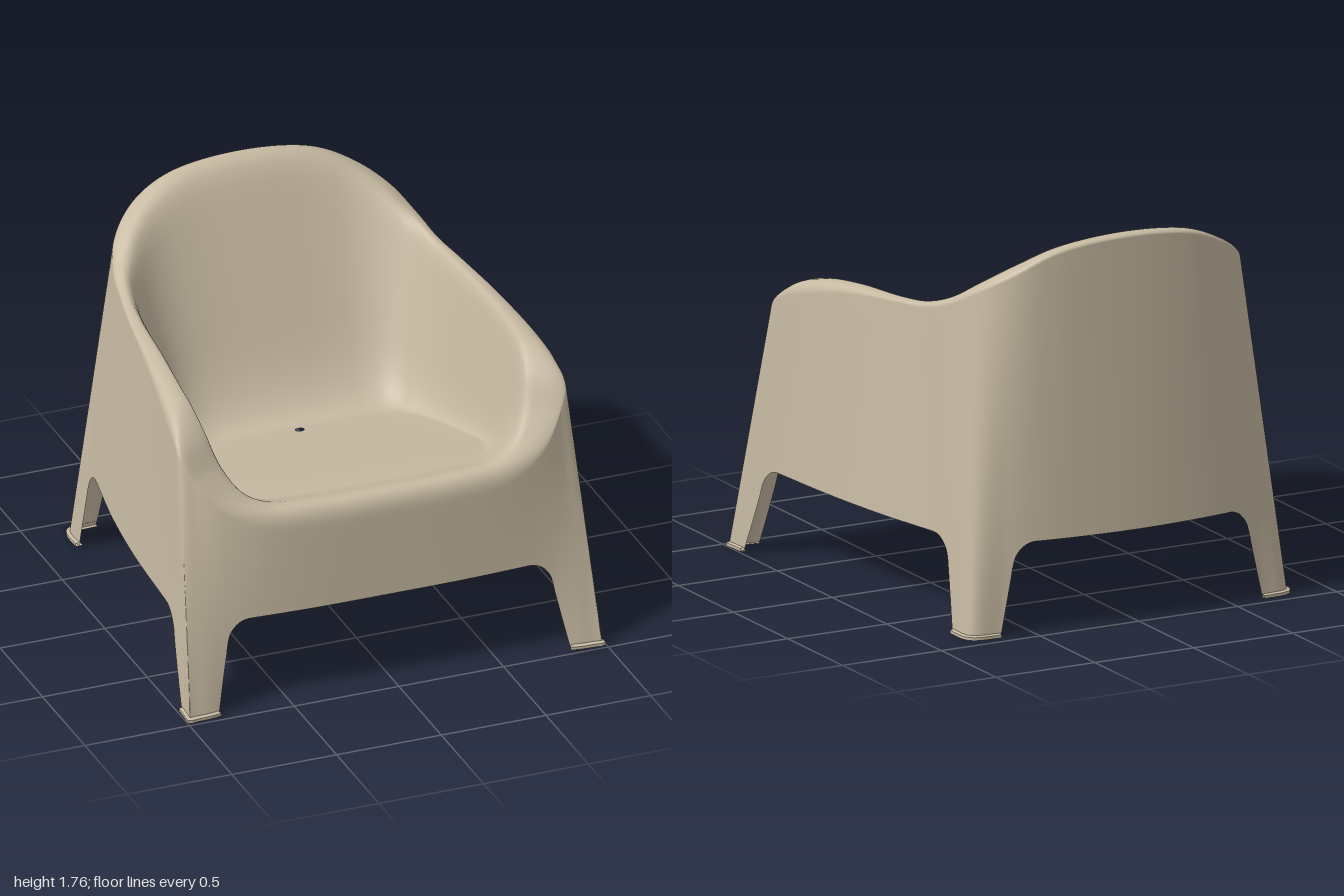
import * as THREE from 'three';
import { mergeVertices, toCreasedNormals } from 'three/addons/utils/BufferGeometryUtils.js';

// Half outlines, from front centre round the model's left side to back centre.
// skirt: x, z at height SKIRT_Y
const SKIRT_Y = 0.42;
const skirt = [[0, .91], [.35, .908], [.62, .896], [.78, .885], [.88, .878], [.963, .87], [.955, .7], [.945, .52],
  [.92, .15], [.875, -.22], [.815, -.55], [.79, -.7], [.76, -.86], [.62, -.912], [.42, -.955], [0, -.985]]
  .map(([x, z]) => [x, SKIRT_Y, z]);
// shoulder: where the outer wall starts to roll over
const shoulder = [[0, .81, .892], [.35, .81, .887], [.6, .835, .865], [.77, .935, .815], [.87, 1.065, .75],
  [.924, 1.17, .69], [.919, 1.225, .585], [.901, 1.27, .44], [.85, 1.345, .12], [.797, 1.383, -.22],
  [.76, 1.403, -.42], [.728, 1.45, -.58], [.66, 1.53, -.73], [.53, 1.62, -.845], [.345, 1.705, -.893], [0, 1.742, -.912]];
// crest: highest line of the rim
const crest = [[0, .908, .82], [.34, .91, .815], [.54, .922, .8], [.65, .975, .765], [.725, 1.085, .69],
  [.77, 1.225, .605], [.79, 1.31, .5], [.795, 1.347, .38], [.78, 1.382, .12], [.755, 1.4, -.2],
  [.73, 1.422, -.39], [.69, 1.475, -.545], [.61, 1.565, -.675], [.49, 1.653, -.78], [.32, 1.728, -.845], [0, 1.76, -.865]];
// seat edge: where the inner wall meets the sloping seat
const seatY = z => 0.745 + 0.18 * z;
const seatEdge = [[0, .62], [.32, .605], [.48, .57], [.57, .51], [.615, .44], [.625, .37], [.615, .3], [.6, .22],
  [.57, .07], [.53, -.05], [.49, -.12], [.465, -.165], [.42, -.2], [.35, -.215], [.24, -.22], [0, -.222]]
  .map(([x, z]) => [x, seatY(z), z]);

const HALF = 15, LOOP = 2 * HALF, FRONT = 5, REAR = 12;
const PER = 24, COLS = LOOP * PER;

const vec = a => new THREE.Vector3(...a);
// Mirror a half outline into a full loop of 30 points
const fullLoop = half => [...half.map(vec),
  ...half.slice(1, -1).reverse().map(([x, y, z]) => new THREE.Vector3(-x, y, z))];
const spline = (pts, closed) => new THREE.CatmullRomCurve3(pts, closed, 'centripetal');

// The skirt keeps sharp front corners, so it is two splines
const skirtLoop = fullLoop(skirt);
const frontSkirt = spline([...skirtLoop.slice(-FRONT), ...skirtLoop.slice(0, FRONT + 1)], false);
const wrapSkirt = spline(skirtLoop.slice(FRONT, LOOP - FRONT + 1), false);
const shoulderLoop = spline(fullLoop(shoulder), true);
const crestLoop = spline(fullLoop(crest), true);
const seatLoop = spline(fullLoop(seatEdge), true);

function skirtAt(row) {
  if (row <= FRONT) return frontSkirt.getPoint((row + FRONT) / (2 * FRONT));
  if (row >= LOOP - FRONT) return frontSkirt.getPoint((row - LOOP + FRONT) / (2 * FRONT));
  return wrapSkirt.getPoint((row - FRONT) / (LOOP - 2 * FRONT));
}

// Height of the lower edge at a distance d from a leg: leaning side, then a fillet
function legEdge(d, lean, fillet) {
  if (d <= 0) return 0;
  if (d < lean) return 0.3 * d / lean;
  const u = Math.min(1, (d - lean) / fillet);
  return 0.3 + 0.12 * Math.sqrt(1 - (1 - u) ** 2);
}
function lowerEdge(row, p) {
  const r = Math.min(row, LOOP - row), x = Math.abs(p.x);
  if (r <= FRONT) return legEdge(0.835 - x, 0.06, 0.11);
  if (r >= REAR) return legEdge(0.63 - x, 0.04, 0.1);
  return Math.min(legEdge(0.775 - p.z, 0.07, 0.11), legEdge(p.z + 0.715, 0.03, 0.1));
}

// Inner wall drop: round at the rim, straight, then a fillet to the seat
function drop(s, a = 0.17, b = 0.44) {
  const m = 1 / (1 - (a + b) / 2);
  if (s < a) return m * s * s / (2 * a);
  if (s > 1 - b) return 1 - m * (1 - s) ** 2 / (2 * b);
  return m * (s - a / 2);
}

// Join columns of points into a surface
function surface(columns, closed) {
  const n = columns[0].length, c = columns.length, index = [];
  for (let i = 0; i < (closed ? c : c - 1); i++) {
    for (let j = 0; j < n - 1; j++) {
      const a = i * n + j, b = ((i + 1) % c) * n + j;
      index.push(a, b, b + 1, a, b + 1, a + 1);
    }
  }
  const g = new THREE.BufferGeometry().setFromPoints(columns.flat());
  g.setIndex(index);
  g.computeVertexNormals();
  return g;
}

// One cross-section: lower edge, outer wall, rolled rim, inner wall, seat, drain hole
const drain = new THREE.Vector3(0, 0, -0.17);
function section(i) {
  const row = i / PER, u = row / LOOP;
  const b = skirtAt(row), r = shoulderLoop.getPoint(u), p = crestLoop.getPoint(u), f = seatLoop.getPoint(u);
  const low = lowerEdge(row, b), pts = [];
  const wall = y => b.clone().lerp(r, (y - SKIRT_Y) / (r.y - SKIRT_Y));
  for (let j = 0; j < 8; j++) pts.push(wall(low + (r.y - low) * j / 8));
  const roll = new THREE.QuadraticBezierCurve3(r, wall(p.y), p);
  pts.push(...roll.getPoints(8));
  for (let j = 1; j <= 20; j++) {
    const s = j / 20, q = p.clone().lerp(f, s);
    q.y = p.y + (f.y - p.y) * drop(s);
    pts.push(q);
  }
  const hole = f.clone().sub(drain).setY(0).setLength(0.02).add(drain);
  for (let j = 1; j <= 6; j++) {
    const q = f.clone().lerp(hole, j / 6);
    q.y = seatY(q.z);
    pts.push(q);
  }
  return { low, pts };
}

export function createModel() {
  const group = new THREE.Group();
  const plastic = new THREE.MeshStandardMaterial({ color: 0xc7baa2 });
  plastic.name = 'beige plastic';
  plastic.side = THREE.DoubleSide;
  const add = (geometry, name) => {
    const mesh = new THREE.Mesh(geometry, plastic);
    mesh.name = name;
    group.add(mesh);
  };

  // Moulded shell with legs, arms, back and seat
  const sections = Array.from({ length: COLS }, (_, i) => section(i));
  add(surface(sections.map(s => s.pts), true), 'chairShell');

  // Flanged feet along the bottom of each leg
  let run = [];
  const names = ['frontLeftFoot', 'backLeftFoot', 'backRightFoot', 'frontRightFoot'];
  for (let i = 0; i < COLS; i++) {
    if (sections[i].low === 0) {
      const p = sections[i].pts[0];
      const t = sections[(i + 1) % COLS].pts[0].clone().sub(sections[(i + COLS - 1) % COLS].pts[0]).setY(0).normalize();
      const at = (out, y) => new THREE.Vector3(p.x - t.z * out, y, p.z + t.x * out);
      run.push([at(-0.02, 0), at(0.014, 0), at(0.014, 0.014), at(-0.006, 0.02)]);
    } else if (run.length) {
      const g = mergeVertices(surface(run, false));
      add(toCreasedNormals(g, 0.6), names.shift());
      run = [];
    }
  }
  return group;
}
